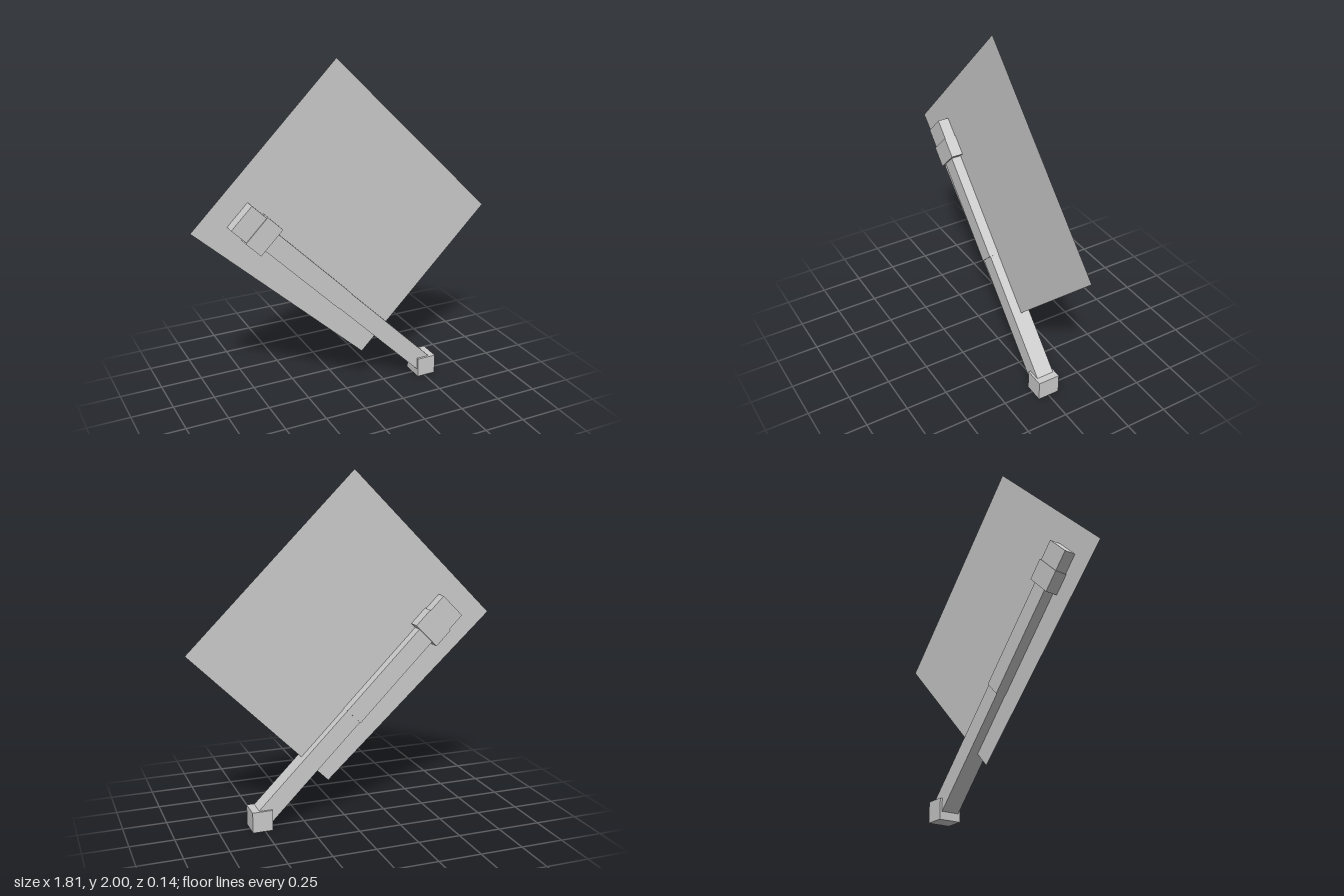
import * as THREE from 'three';

export function createModel() {
  const model = new THREE.Group();
  const material = new THREE.MeshStandardMaterial({ color: 0xcccccc, flatShading: true });

  const add = (parent, name, geometry, mat = material) => {
    const mesh = new THREE.Mesh(geometry, mat);
    mesh.name = name;
    parent.add(mesh);
    return mesh;
  };

  // Flat cloth, slightly out of square, in the plane of the pole
  const outline = new THREE.Shape([
    new THREE.Vector2(-0.06, 2.0),
    new THREE.Vector2(-0.905, 1.155),
    new THREE.Vector2(0.1, 0.23),
    new THREE.Vector2(0.905, 1.035),
  ]);
  const clothMaterial = material.clone();
  clothMaterial.side = THREE.DoubleSide;
  add(model, 'flagCloth', new THREE.ShapeGeometry(outline), clothMaterial);

  // Pole leaning at 45 degrees; local x runs down its length
  const pole = new THREE.Group();
  pole.name = 'pole';
  pole.position.set(0, 0.576, 0);
  pole.rotation.z = -Math.PI / 4;
  model.add(pole);

  // name, start, end, width, depth
  const sections = [
    ['lowerPole', -0.06, 0.696, 0.108, 0.106],
    ['upperPole', -0.7, -0.053, 0.114, 0.118],
    ['collar', -0.795, -0.675, 0.184, 0.14],
    ['topCap', -0.909, -0.79, 0.17, 0.13],
  ];
  for (const [name, start, end, width, depth] of sections) {
    const part = add(pole, name, new THREE.BoxGeometry(end - start, width, depth));
    part.position.x = (start + end) / 2;
  }

  // Upright foot block
  add(model, 'footBlock', new THREE.BoxGeometry(0.117, 0.12, 0.132)).position.set(0.513, 0.06, 0);

  return model;
}
